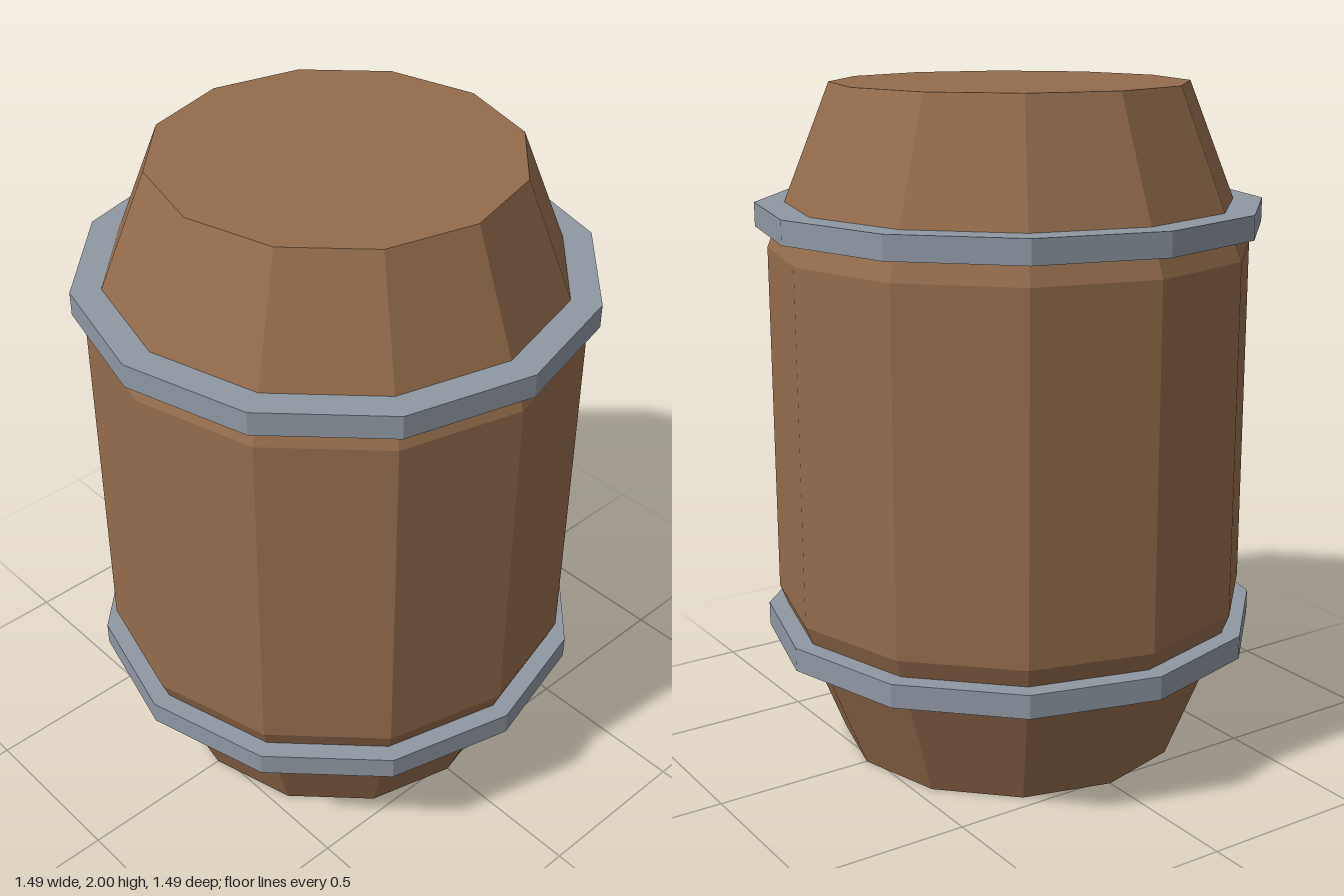
import * as THREE from 'three';

const SIDES = 12;

// Faceted turned part from a [radius, height] profile, listed bottom to top
function turned(name, profile, material) {
  const points = profile.map(([r, y]) => new THREE.Vector2(r, y));
  const mesh = new THREE.Mesh(new THREE.LatheGeometry(points, SIDES), material);
  mesh.name = name;
  return mesh;
}

function flatMaterial(name, color) {
  const material = new THREE.MeshStandardMaterial({ color, flatShading: true });
  material.name = name;
  return material;
}

export function createModel() {
  const wood = flatMaterial('brown wood', 0x946c4c);
  const metal = flatMaterial('grey metal', 0x8f98a3);

  const barrel = new THREE.Group();
  barrel.name = 'barrel';

  // Wooden body with tapered ends and closed lids
  barrel.add(turned('body', [
    [0, 0], [0.523, 0], [0.713, 0.475], [0.713, 1.525], [0.523, 2], [0, 2],
  ], wood));

  // Metal hoops, mirrored about mid-height
  const half = 0.035;
  const inner = 0.64;
  const outer = 0.747;
  for (const [name, y] of [['lowerHoop', 0.384], ['upperHoop', 1.622]]) {
    const hoop = turned(name, [
      [inner, -half], [outer, -half], [outer, half], [inner, half],
    ], metal);
    hoop.position.y = y;
    barrel.add(hoop);
  }

  return barrel;
}
